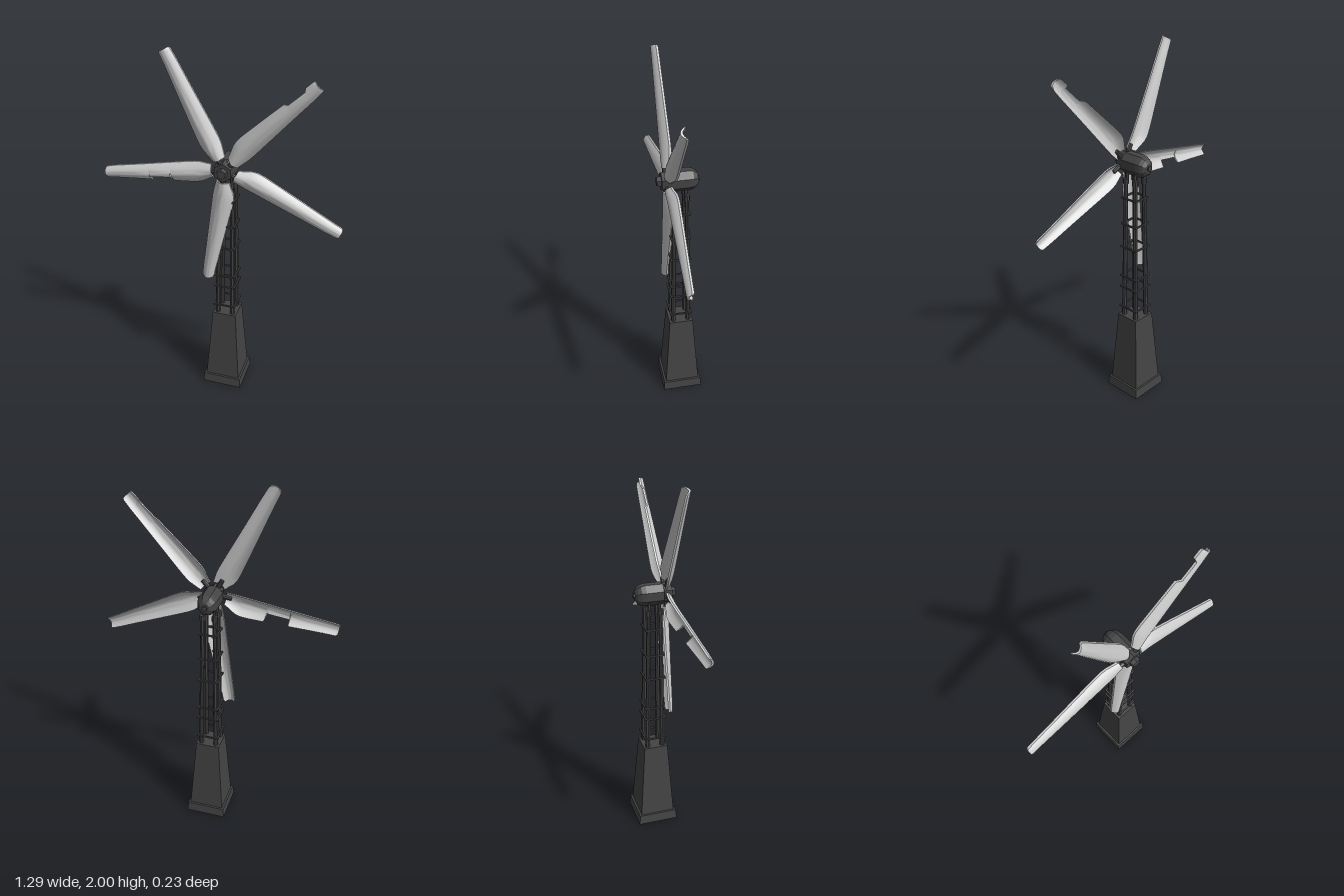
import * as THREE from 'three';
import { toCreasedNormals } from 'three/addons/utils/BufferGeometryUtils.js';

const CX = 0.02, HUB_Y = 1.396;

// Shell blade along +y: rows are [distance from hub, width, sideways offset, cut in trailing edge]
function bladeGeometry(rows) {
  const n = 13, crown = 0.36, wall = 0.011, front = 0.086;
  const pos = [], idx = [];
  for (const [r, w, off, cut] of rows) {
    const start = -1 + (2 * cut) / w;
    const arc = (j, inset) => {
      const s = start + ((1 - start) * j) / (n - 1);
      pos.push(off + (s * w) / 2, r, front - inset - crown * w * s * s);
    };
    for (let j = 0; j < n; j++) arc(j, 0);
    for (let j = n - 1; j >= 0; j--) arc(j, wall);
  }
  const N = 2 * n, last = (rows.length - 1) * N;
  for (let i = 0; i < last; i += N) {
    for (let j = 0; j < N; j++) {
      const a = i + j, b = i + ((j + 1) % N);
      idx.push(a, b, b + N, a, b + N, a + N);
    }
  }
  // root and tip end faces
  for (let j = 0; j < n - 1; j++) {
    const a = j, b = j + 1, c = N - 2 - j, d = N - 1 - j;
    idx.push(a, c, b, a, d, c);
    idx.push(last + a, last + b, last + c, last + a, last + c, last + d);
  }
  const g = new THREE.BufferGeometry();
  g.setAttribute('position', new THREE.Float32BufferAttribute(pos, 3));
  g.setIndex(idx);
  return toCreasedNormals(g, 0.6);
}

// Blade outline: root, shoulder, long taper, softened tip
const OUTLINE = [
  [0.065, 0.07, 0], [0.09, 0.083, -0.003], [0.13, 0.107, -0.009], [0.16, 0.114, -0.011],
  [0.2, 0.113, -0.011], [0.28, 0.105, -0.009], [0.4, 0.092, -0.006], [0.5, 0.081, -0.003],
  [0.6, 0.071, 0], [0.655, 0.065, 0], [0.664, 0.06, 0], [0.668, 0.05, 0],
];

function outlineAt(r) {
  const k = Math.max(1, OUTLINE.findIndex(p => p[0] >= r));
  const a = OUTLINE[k - 1], b = OUTLINE[k], t = (r - a[0]) / (b[0] - a[0]);
  return [r, a[1] + (b[1] - a[1]) * t, a[2] + (b[2] - a[2]) * t];
}

// notch: list of [distance, depth] corners of the broken edge
function bladeRows(notch = []) {
  if (!notch.length) return OUTLINE.map(p => [...p, 0]);
  const from = notch[0][0], to = notch[notch.length - 1][0];
  const kept = OUTLINE.filter(p => p[0] < from || p[0] > to).map(p => [...p, 0]);
  const broken = notch.map(([r, d]) => [...outlineAt(r), d]);
  return [...kept, ...broken].sort((a, b) => a[0] - b[0]);
}

export function createModel() {
  const model = new THREE.Group();
  model.name = 'windTurbine';
  const dark = new THREE.MeshStandardMaterial({ color: 0x444444, flatShading: true });
  const pale = new THREE.MeshStandardMaterial({ color: 0xcccccc });

  const add = (parent, name, geometry, material, x = 0, y = 0, z = 0) => {
    const mesh = new THREE.Mesh(geometry, material);
    mesh.name = name;
    mesh.position.set(x, y, z);
    parent.add(mesh);
    return mesh;
  };
  const frustum = (bottom, top, h) =>
    new THREE.CylinderGeometry(top * Math.SQRT2, bottom * Math.SQRT2, h, 4).rotateY(Math.PI / 4);

  // Tower
  const tower = new THREE.Group();
  tower.name = 'tower';
  tower.position.x = CX;
  model.add(tower);
  add(tower, 'plinth', frustum(0.114, 0.109, 0.055), dark, 0, 0.0275);
  add(tower, 'towerBase', frustum(0.098, 0.067, 0.437), dark, 0, 0.2715);

  // Four leaning legs with collars and short pins up to the nacelle
  const up = new THREE.Vector3(0, 1, 0);
  for (const sx of [-1, 1]) for (const sz of [-1, 1]) {
    const a = new THREE.Vector3(sx * 0.043, 0.48, sz * 0.043);
    const b = new THREE.Vector3(sx * 0.033, 1.31, sz * 0.033);
    const dir = b.clone().sub(a);
    const leg = add(tower, 'leg', new THREE.CylinderGeometry(0.011, 0.014, dir.length(), 8), dark);
    leg.position.copy(a).add(b).multiplyScalar(0.5);
    leg.quaternion.setFromUnitVectors(up, dir.normalize());
    add(tower, 'legCollar', new THREE.CylinderGeometry(0.016, 0.016, 0.03, 8), dark, b.x, 1.305, b.z);
    add(tower, 'legPin', new THREE.CylinderGeometry(0.009, 0.009, 0.07, 6), dark, b.x * 0.85, 1.345, b.z * 0.85);
  }

  // Square hoops tied around the legs
  for (const y of [0.546, 0.674, 0.743, 0.923, 1.06, 1.21]) {
    const half = 0.063 - (y - 0.546) * 0.018;
    const hoop = new THREE.Group();
    hoop.name = 'hoop';
    hoop.position.y = y;
    tower.add(hoop);
    for (const s of [-1, 1]) {
      add(hoop, 'hoopBar', new THREE.BoxGeometry(half * 2, 0.009, 0.008), dark, 0, 0, s * (half - 0.004));
      add(hoop, 'hoopBar', new THREE.BoxGeometry(0.008, 0.009, half * 2), dark, s * (half - 0.004), 0, 0);
    }
  }

  // Nacelle: eight-sided body with a rounded tail
  const profile = [[0, -0.1], [0.028, -0.097], [0.045, -0.086], [0.056, -0.068], [0.061, -0.045],
    [0.061, 0.048], [0.052, 0.06], [0, 0.06]].map(p => new THREE.Vector2(...p));
  const body = new THREE.LatheGeometry(profile, 8).rotateY(Math.PI / 8).rotateX(Math.PI / 2);
  add(model, 'nacelle', body.scale(0.9, 1, 1), dark, CX, HUB_Y, 0);
  add(model, 'tailVent', new THREE.CylinderGeometry(0.014, 0.014, 0.012, 8).rotateX(Math.PI / 2), dark, CX, HUB_Y, -0.1);

  // Rotor
  const rotor = new THREE.Group();
  rotor.name = 'rotor';
  rotor.position.set(CX, HUB_Y, 0);
  model.add(rotor);
  add(rotor, 'hub', new THREE.CylinderGeometry(0.05, 0.058, 0.045, 6).rotateX(Math.PI / 2), dark, 0, 0, 0.073);
  add(rotor, 'hubCap', new THREE.CylinderGeometry(0.025, 0.03, 0.025, 6).rotateX(Math.PI / 2), dark, 0, 0, 0.106);

  // Five blades, two of them with a broken trailing edge
  const blades = [
    [117], [188.7, [[0.285, 0], [0.295, 0.032], [0.41, 0.026], [0.413, 0]]],
    [261.9], [336.5], [47.3, [[0.475, 0], [0.495, 0.013], [0.6, 0.012], [0.612, 0]]],
  ];
  for (const [angle, notch] of blades) {
    const arm = new THREE.Group();
    arm.name = 'bladeArm';
    arm.rotation.z = THREE.MathUtils.degToRad(angle - 90);
    rotor.add(arm);
    add(arm, 'blade', bladeGeometry(bladeRows(notch)), pale);
    add(arm, 'bladeStem', new THREE.CylinderGeometry(0.011, 0.014, 0.06, 8), dark, 0, 0.065, 0.07);
  }
  return model;
}
